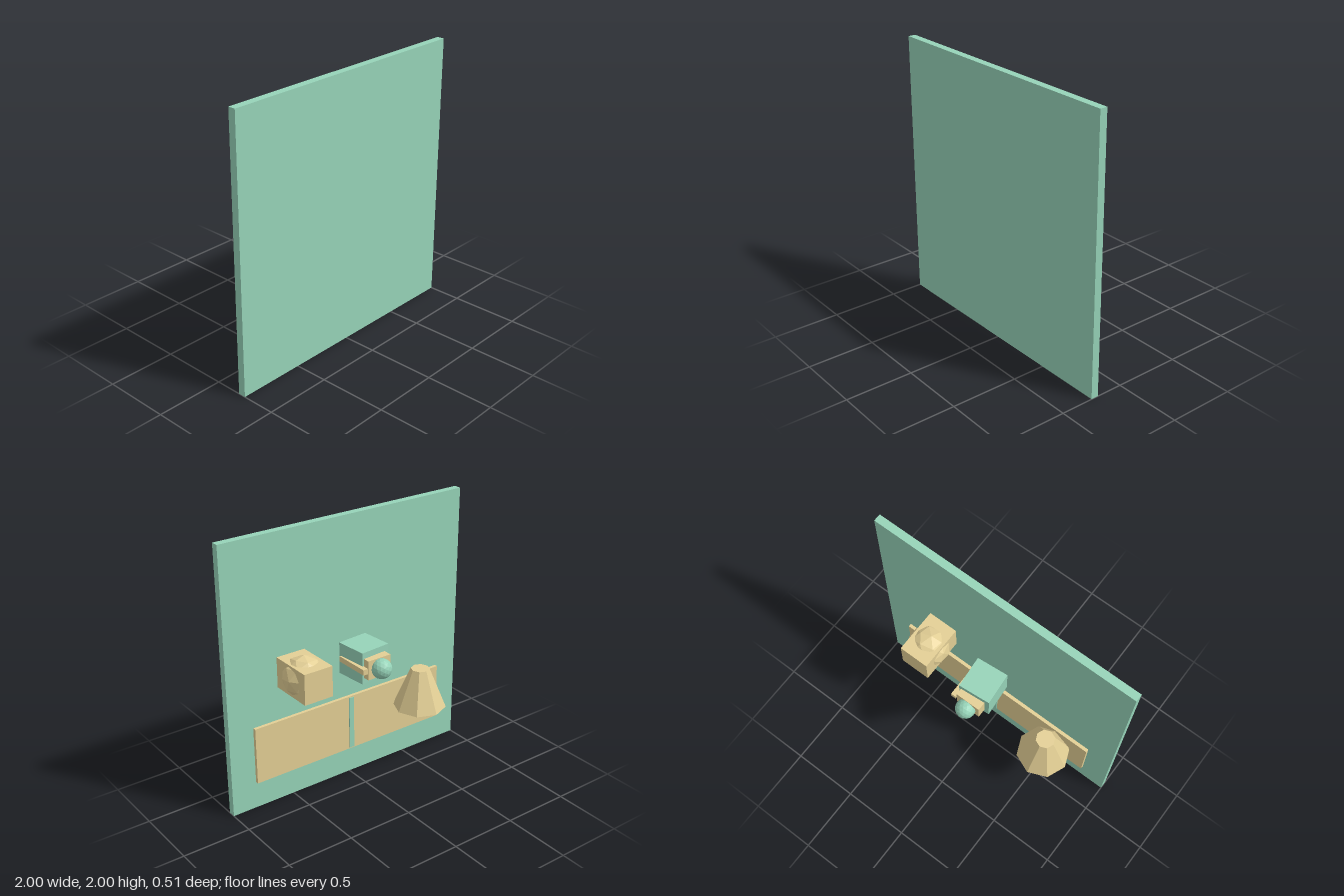
import * as THREE from 'three';

export function createModel() {
  const model = new THREE.Group();
  const green = new THREE.MeshStandardMaterial({ color: 0x96d3b8, flatShading: true });
  const tan = new THREE.MeshStandardMaterial({ color: 0xe3cf95, flatShading: true });

  function add(name, geometry, material, x, y, z) {
    const mesh = new THREE.Mesh(geometry, material);
    mesh.name = name;
    mesh.position.set(x, y, z);
    model.add(mesh);
    return mesh;
  }

  // Box given by its lowest and highest corners
  function addBox(name, material, [x0, y0, z0], [x1, y1, z1]) {
    return add(name, new THREE.BoxGeometry(x1 - x0, y1 - y0, z1 - z0), material,
      (x0 + x1) / 2, (y0 + y1) / 2, (z0 + z1) / 2);
  }

  // Upright backing panel
  addBox('panel', green, [-1, 0, 0.2], [1, 2, 0.255]);

  // Wide plaque with a narrow divider
  addBox('plaque', tan, [-0.81, 0.21, 0.172], [0.81, 0.64, 0.197]);
  addBox('divider', green, [-0.02, 0.22, 0.165], [0.02, 0.63, 0.19]);

  // Eight-sided tapered cone, sunk slightly into the panel
  add('taperedCone', new THREE.CylinderGeometry(0.07, 0.197, 0.305, 8), tan, -0.535, 0.603, 0.043);

  // Block with a faceted ball bulging through its sides
  addBox('block', tan, [0.375, 0.888, -0.133], [0.6, 1.115, 0.2]);
  const ball = add('blockBall', new THREE.IcosahedronGeometry(0.153, 1), tan, 0.49, 1.002, 0.035);
  ball.rotation.set(0.1, 0.25, 0.1);

  // Slightly turned cube with a mount, knob and side bar
  add('cube', new THREE.BoxGeometry(0.24, 0.235, 0.24), green, 0, 1.001, 0.022).rotation.y = 0.085;
  addBox('knobMount', tan, [-0.095, 0.93, -0.156], [0.095, 1.073, -0.085]);
  addBox('sideBar', tan, [0.102, 0.982, -0.162], [0.14, 1.022, 0.115]);
  add('knob', new THREE.IcosahedronGeometry(0.073, 2), green, 0, 1.002, -0.182);

  return model;
}
